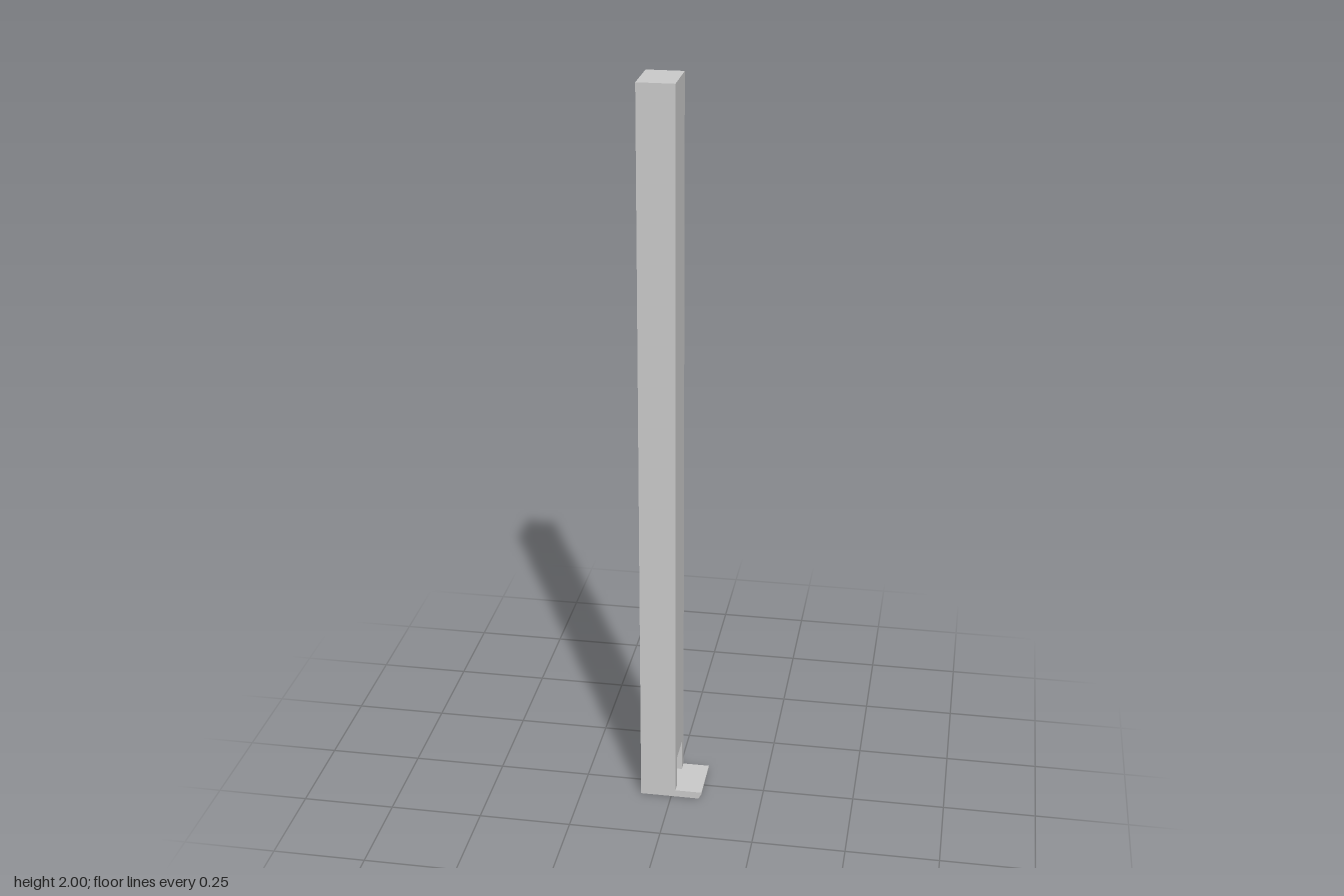
import * as THREE from 'three';

export function createModel() {
  const group = new THREE.Group();
  const material = new THREE.MeshStandardMaterial({ color: 0xcccccc, flatShading: true });
  const back = -0.085, face = 0.012, front = 0.085;
  const halfWidth = 0.069, height = 2, step = 0.02;
  const doorHalf = 0.04, doorTop = 0.11, doorDepth = 0.08;

  const add = (name, geometry) => {
    const mesh = new THREE.Mesh(geometry, material);
    mesh.name = name;
    group.add(mesh);
    return mesh;
  };
  const polygon = (points, Type = THREE.Shape) =>
    new Type(points.map(([x, y]) => new THREE.Vector2(x, y)));

  // Tall shaft with a recessed doorway in its +x side
  const wall = polygon([[-halfWidth, 0], [halfWidth, 0], [halfWidth, height], [-halfWidth, height]]);
  wall.holes.push(polygon(
    [[-doorHalf, step], [-doorHalf, doorTop], [doorHalf, doorTop], [doorHalf, step]], THREE.Path));
  const shaft = add('towerShaft', new THREE.ExtrudeGeometry(wall, { depth: doorDepth, bevelEnabled: false }));
  shaft.rotation.y = Math.PI / 2;
  shaft.position.x = face - doorDepth;

  // Solid wall behind the doorway
  const thickness = face - doorDepth - back;
  const rear = add('rearWall', new THREE.BoxGeometry(thickness, height, halfWidth * 2));
  rear.position.set(back + thickness / 2, height / 2, 0);

  // Entrance platform with an undercut front edge
  const profile = polygon([[face, 0], [front - 0.008, 0], [front, step - 0.005], [front, step], [face, step]]);
  const platform = add('entrancePlatform',
    new THREE.ExtrudeGeometry(profile, { depth: halfWidth * 2, bevelEnabled: false }));
  platform.position.z = -halfWidth;

  return group;
}
